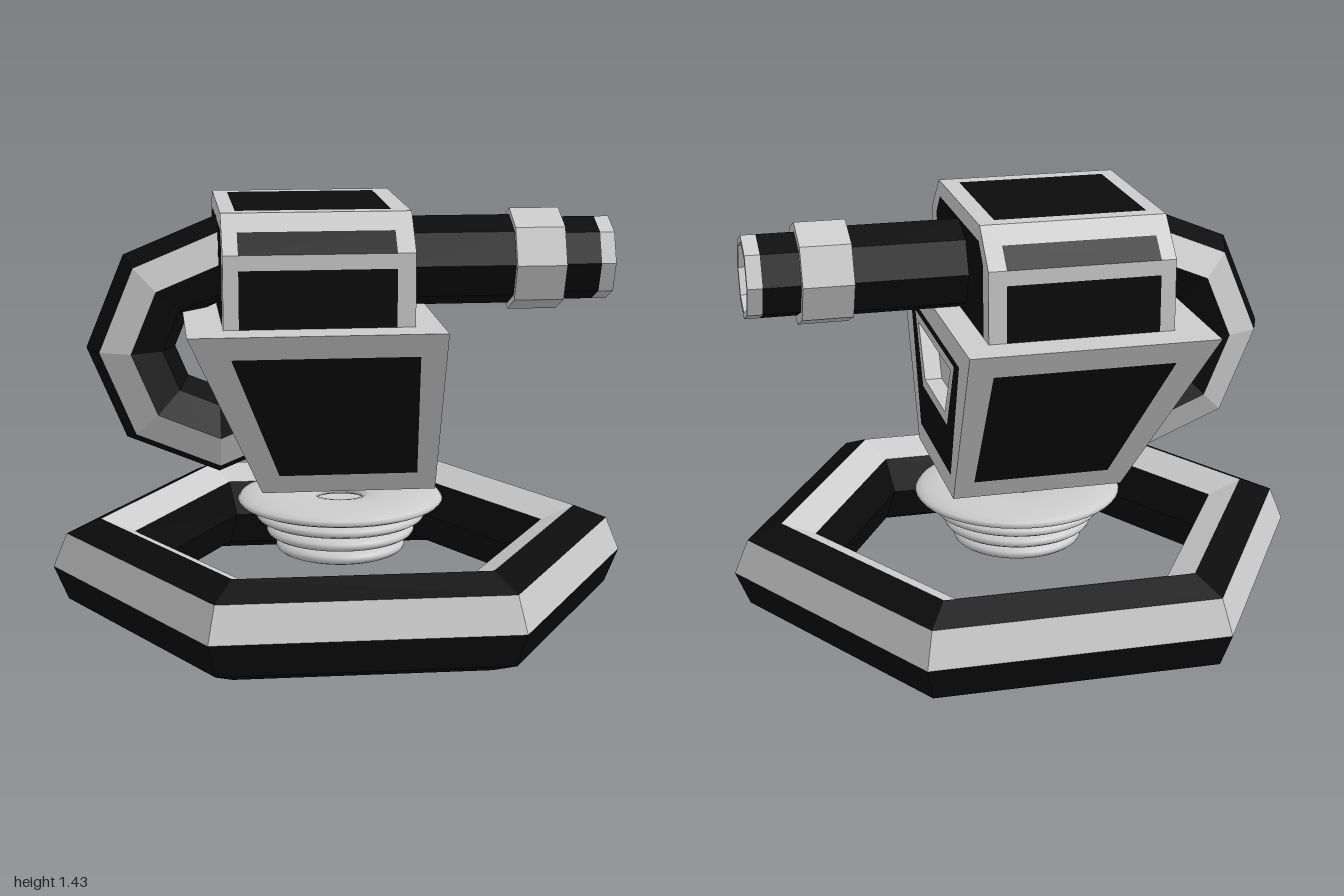
import * as THREE from 'three';

const light = new THREE.MeshStandardMaterial({ color: 0xcccccc, flatShading: true });
const smooth = new THREE.MeshStandardMaterial({ color: 0xcccccc });
const dark = new THREE.MeshStandardMaterial({ color: 0x0b0b0b, flatShading: true });

function lathe(name, points, sides, material, phi = 0) {
  const profile = points.map(([r, y]) => new THREE.Vector2(r, y));
  const mesh = new THREE.Mesh(new THREE.LatheGeometry(profile, sides, phi), material);
  mesh.name = name;
  return mesh;
}

// Faceted ring with an octagonal section; lightBands lists the section sides left light
function bandedRing(name, R, r, sides, lightBands, phi = 0) {
  const ring = new THREE.Group();
  ring.name = name;
  const at = (i) => [R + r * Math.cos(i * Math.PI / 4), r * Math.sin(i * Math.PI / 4)];
  for (let i = 0; i < 8; i++) {
    const isLight = lightBands.includes(i);
    ring.add(lathe(isLight ? 'lightBand' : 'darkBand', [at(i), at(i + 1)], sides, isLight ? light : dark, phi));
  }
  return ring;
}

// Nested loops of corners: a strip between each pair, and the last loop filled
function panelFace(name, loops, materials, flip = false) {
  const group = new THREE.Group();
  group.name = name;
  loops.forEach((loop, k) => {
    const pos = [];
    const tri = (a, b, c) => pos.push(...a, ...(flip ? c : b), ...(flip ? b : c));
    const inner = loops[k + 1];
    const n = loop.length;
    if (inner) {
      for (let i = 0; i < n; i++) {
        const j = (i + 1) % n;
        tri(loop[i], loop[j], inner[j]);
        tri(loop[i], inner[j], inner[i]);
      }
    } else {
      for (let i = 1; i < n - 1; i++) tri(loop[0], loop[i], loop[i + 1]);
    }
    const geometry = new THREE.BufferGeometry();
    geometry.setAttribute('position', new THREE.Float32BufferAttribute(pos, 3));
    geometry.computeVertexNormals();
    const mesh = new THREE.Mesh(geometry, materials[k]);
    mesh.name = inner ? 'border' : 'panel';
    group.add(mesh);
  });
  return group;
}

// Tapered lower housing with inset panels and a vent pocket
function lowerHousing() {
  const g = new THREE.Group();
  g.name = 'lowerHousing';
  const y0 = 0.49, y1 = 1.07;
  const sideZ = (y) => 0.29 + (y - y0) / (y1 - y0) * 0.27;
  const backX = (y) => -0.29 - (y - y0) / (y1 - y0) * 0.25;
  for (const s of [1, -1]) {
    const p = (x, y) => [x, y, s * sideZ(y)];
    g.add(panelFace('housingSide', [
      [p(-0.29, y0), p(0.29, y0), p(0.29, y1), p(-0.54, y1)],
      [p(-0.235, 0.555), p(0.225, 0.555), p(0.205, 0.99), p(-0.4, 0.99)],
    ], [light, dark], s < 0));
  }
  const trapezoid = (xAt, zb, yb, zt, yt) =>
    [[xAt(yb), yb, zb], [xAt(yb), yb, -zb], [xAt(yt), yt, -zt], [xAt(yt), yt, zt]];
  const frontX = () => 0.29, pocketX = () => 0.23;
  g.add(panelFace('ventEnd', [
    trapezoid(frontX, 0.29, y0, 0.56, y1),
    trapezoid(frontX, 0.25, 0.56, 0.4, 0.99),
    trapezoid(frontX, 0.2, 0.72, 0.32, 0.965),
    trapezoid(frontX, 0.165, 0.755, 0.265, 0.935),
    trapezoid(pocketX, 0.165, 0.755, 0.265, 0.935),
  ], [light, dark, light, light, light]));
  g.add(panelFace('backEnd', [
    trapezoid(backX, 0.29, y0, 0.56, y1),
    trapezoid(backX, 0.25, 0.56, 0.4, 0.99),
  ], [light, dark], true));
  g.add(panelFace('housingTop', [[[-0.54, y1, 0.56], [0.29, y1, 0.56], [0.29, y1, -0.56], [-0.54, y1, -0.56]]], [light]));
  g.add(panelFace('housingBottom', [[[-0.29, y0, 0.29], [0.29, y0, 0.29], [0.29, y0, -0.29], [-0.29, y0, -0.29]]], [light], true));
  return g;
}

// Chamfered upper box
function upperHousing() {
  const g = new THREE.Group();
  g.name = 'upperHousing';
  const x0 = -0.42, x1 = 0.2, a = -0.37, b = 0.14;
  const rect = (l, r, yb, zb, yt, zt) => [[l, yb, zb], [r, yb, zb], [r, yt, zt], [l, yt, zt]];
  for (const s of [1, -1]) {
    g.add(panelFace('boxSide', [
      rect(x0, x1, 1.07, s * 0.435, 1.31, s * 0.435),
      rect(a, b, 1.07, s * 0.435, 1.26, s * 0.435),
    ], [light, dark], s < 0));
    g.add(panelFace('boxChamfer', [
      rect(x0, x1, 1.31, s * 0.435, 1.43, s * 0.315),
      rect(a, b, 1.31, s * 0.435, 1.375, s * 0.37),
    ], [light, dark], s < 0));
    const x = s > 0 ? x1 : x0;
    const outline = (w, t, yt) =>
      [[x, 1.07, w], [x, 1.07, -w], [x, 1.31, -w], [x, yt, -t], [x, yt, t], [x, 1.31, w]];
    g.add(panelFace('boxEnd', [outline(0.435, 0.315, 1.43), outline(0.36, 0.3, 1.375)], [light, dark], s < 0));
  }
  g.add(panelFace('boxTop', [
    rect(x0, x1, 1.43, 0.315, 1.43, -0.315),
    rect(a, b, 1.43, 0.26, 1.43, -0.26),
  ], [light, dark]));
  return g;
}

// Eight-sided barrel along +x with a collar and hollow muzzle
function barrel() {
  const g = new THREE.Group();
  g.name = 'barrel';
  g.add(
    lathe('barrelShaft', [[0.153, 0.18], [0.153, 0.58]], 8, dark),
    lathe('barrelCollar', [[0.153, 0.58], [0.175, 0.58], [0.175, 0.75], [0.143, 0.75]], 8, light),
    lathe('muzzle', [[0.143, 0.75], [0.143, 0.875]], 8, dark),
    lathe('muzzleRim', [[0.143, 0.875], [0.143, 0.925], [0.12, 0.925], [0.12, 0.72]], 8, light),
    lathe('boreEnd', [[0.12, 0.72], [0, 0.72]], 8, dark),
  );
  g.rotation.z = -Math.PI / 2;
  g.position.y = 1.22;
  return g;
}

export function createModel() {
  const model = new THREE.Group();
  model.name = 'turret';

  // Hexagonal floor ring
  const base = bandedRing('baseRing', 0.833, 0.167, 6, [0, 2], Math.PI / 2);
  base.position.y = 0.167;
  model.add(base);

  // Floating stack of shrinking flattened rings
  [[0.357, 0.39], [0.295, 0.335], [0.258, 0.28], [0.225, 0.225]].forEach(([outer, y]) => {
    const hole = 0.075;
    const tube = (outer - hole) / 2;
    const disc = new THREE.Mesh(new THREE.TorusGeometry(outer - tube, tube, 20, 48), smooth);
    disc.name = 'hoverRing';
    disc.rotation.x = -Math.PI / 2;
    disc.scale.z = 0.03 / tube;
    disc.position.y = y;
    model.add(disc);
  });

  // Curved pipe joining the two housings at the back
  const pipe = bandedRing('backPipe', 0.295, 0.15, 8, [1, 6]);
  pipe.rotation.x = Math.PI / 2;
  pipe.position.set(-0.42, 0.94, 0);
  model.add(pipe);

  model.add(lowerHousing(), upperHousing(), barrel());
  return model;
}
